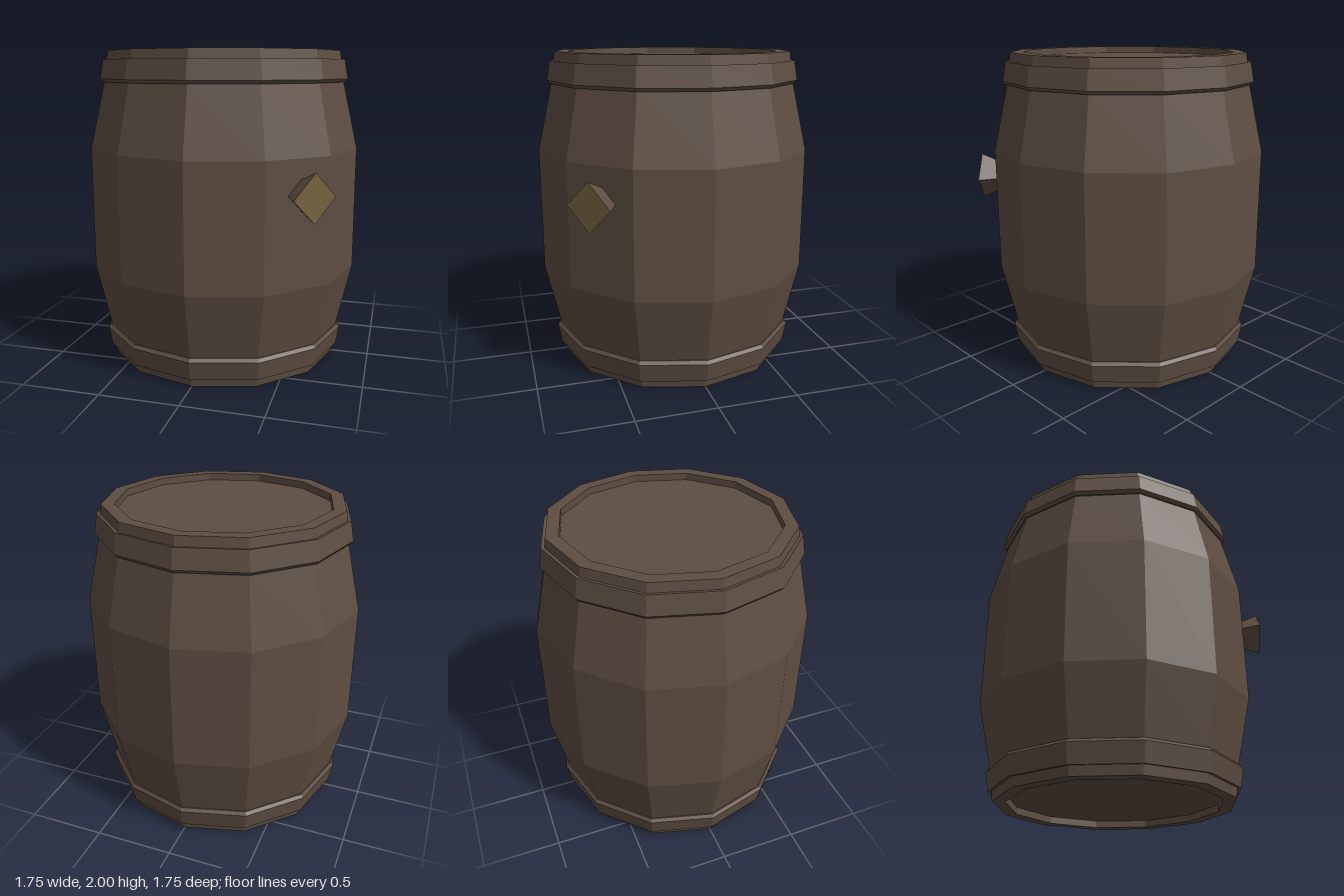
import * as THREE from 'three';

const SIDES = 12;

// Faceted ring or solid turned from [radius, height] pairs, listed bottom to top
function turned(name, profile, material) {
  const points = profile.map(([r, y]) => new THREE.Vector2(r, y));
  const geometry = new THREE.LatheGeometry(points, SIDES).toNonIndexed();
  geometry.computeVertexNormals();
  const mesh = new THREE.Mesh(geometry, material);
  mesh.name = name;
  return mesh;
}

// Turns a profile upside down about the middle of the barrel
const mirrored = (profile) => profile.map(([r, y]) => [r, 2 - y]).reverse();

export function createModel() {
  const wood = new THREE.MeshStandardMaterial({ color: 0x5e4e42 });
  wood.name = 'brown wood';
  const plugEnd = new THREE.MeshStandardMaterial({ color: 0x75633e });
  plugEnd.name = 'pale plug wood';

  const barrel = new THREE.Group();
  barrel.name = 'barrel';

  // Staves with a recessed head at each end
  const lowerHalf = [[0, 0.045], [0.675, 0.045], [0.675, 0], [0.755, 0], [0.783, 0.2], [0.877, 0.61]];
  barrel.add(turned('staves', [...lowerHalf, ...mirrored(lowerHalf)], wood));

  // Hoops near both ends, flaring towards the belly
  const hoop = [[0.755, 0.06], [0.785, 0.055], [0.807, 0.175], [0.79, 0.195], [0.77, 0.195]];
  barrel.add(turned('lowerHoop', hoop, wood));
  barrel.add(turned('upperHoop', mirrored(hoop), wood));

  // Four-sided plug, wider at its outer end, on the front left stave
  const plugGeometry = new THREE.CylinderGeometry(0.147, 0.07, 0.181, 4).toNonIndexed();
  plugGeometry.computeVertexNormals();
  plugGeometry.rotateX(Math.PI / 2);
  plugGeometry.translate(0.019, 1.178, 0.89);
  const plug = new THREE.Mesh(plugGeometry, [wood, plugEnd, wood]);
  plug.name = 'plug';
  plug.rotation.y = Math.PI / 4;
  barrel.add(plug);

  return barrel;
}
